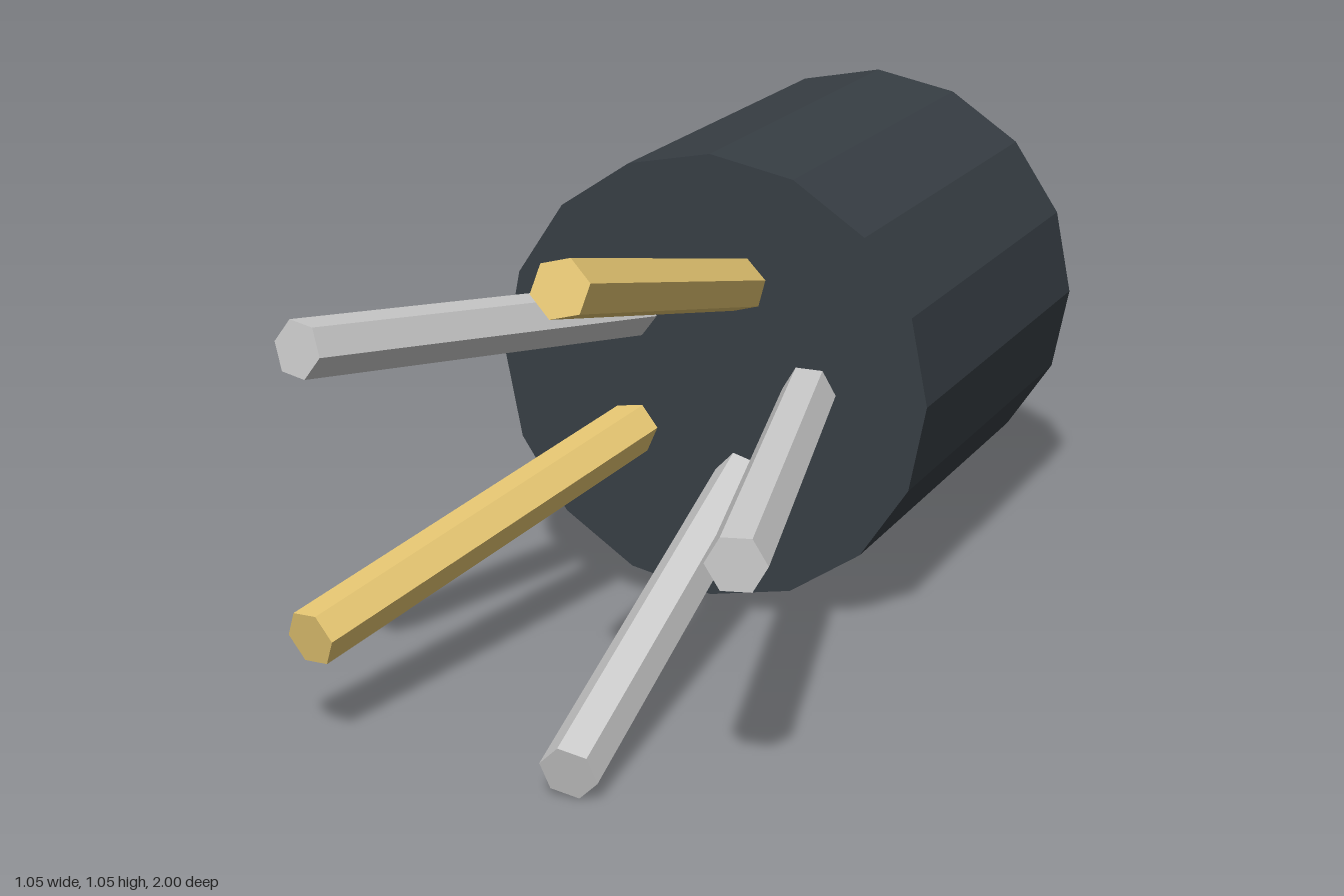
import * as THREE from 'three';

const deg = THREE.MathUtils.degToRad;
const CENTRE = new THREE.Vector3(-0.03, 0.53, 0);
const Z = new THREE.Vector3(0, 0, 1);

function material(color) {
  return new THREE.MeshStandardMaterial({ color, flatShading: true });
}

// Prism with its axis along z, from z = back to z = front
function prism(radius, back, front, sides) {
  const g = new THREE.CylinderGeometry(radius, radius, front - back, sides);
  g.rotateX(Math.PI / 2);
  g.translate(0, 0, (front + back) / 2);
  return g;
}

export function createModel() {
  const group = new THREE.Group();
  const dark = material(0x373e44);
  const grey = material(0xcccccc);
  const gold = material(0xe8c873);

  // Sixteen-sided body
  const body = new THREE.Mesh(prism(0.495, -1, -0.01, 16), dark);
  body.name = 'body';
  body.position.copy(CENTRE);
  group.add(body);

  // Five hexagonal pins fanning out from the front face
  const tilt = deg(15);
  const tipRadius = 0.496, tipZ = 0.985, length = 1.15;
  const rolls = [0, 15, -7, 7, -15];
  rolls.forEach((roll, i) => {
    const a = (i / 5) * Math.PI * 2;
    const dir = new THREE.Vector3(Math.cos(a) * Math.sin(tilt), Math.sin(a) * Math.sin(tilt), Math.cos(tilt));
    const g = prism(0.059, -length, 0, 6);
    g.rotateZ(deg(roll - 30));
    const pin = new THREE.Mesh(g, i % 2 ? gold : grey);
    pin.name = `pin${i + 1}`;
    pin.quaternion.setFromUnitVectors(Z, dir);
    pin.position.set(Math.cos(a) * tipRadius, Math.sin(a) * tipRadius, tipZ).add(CENTRE);
    group.add(pin);
  });

  return group;
}
